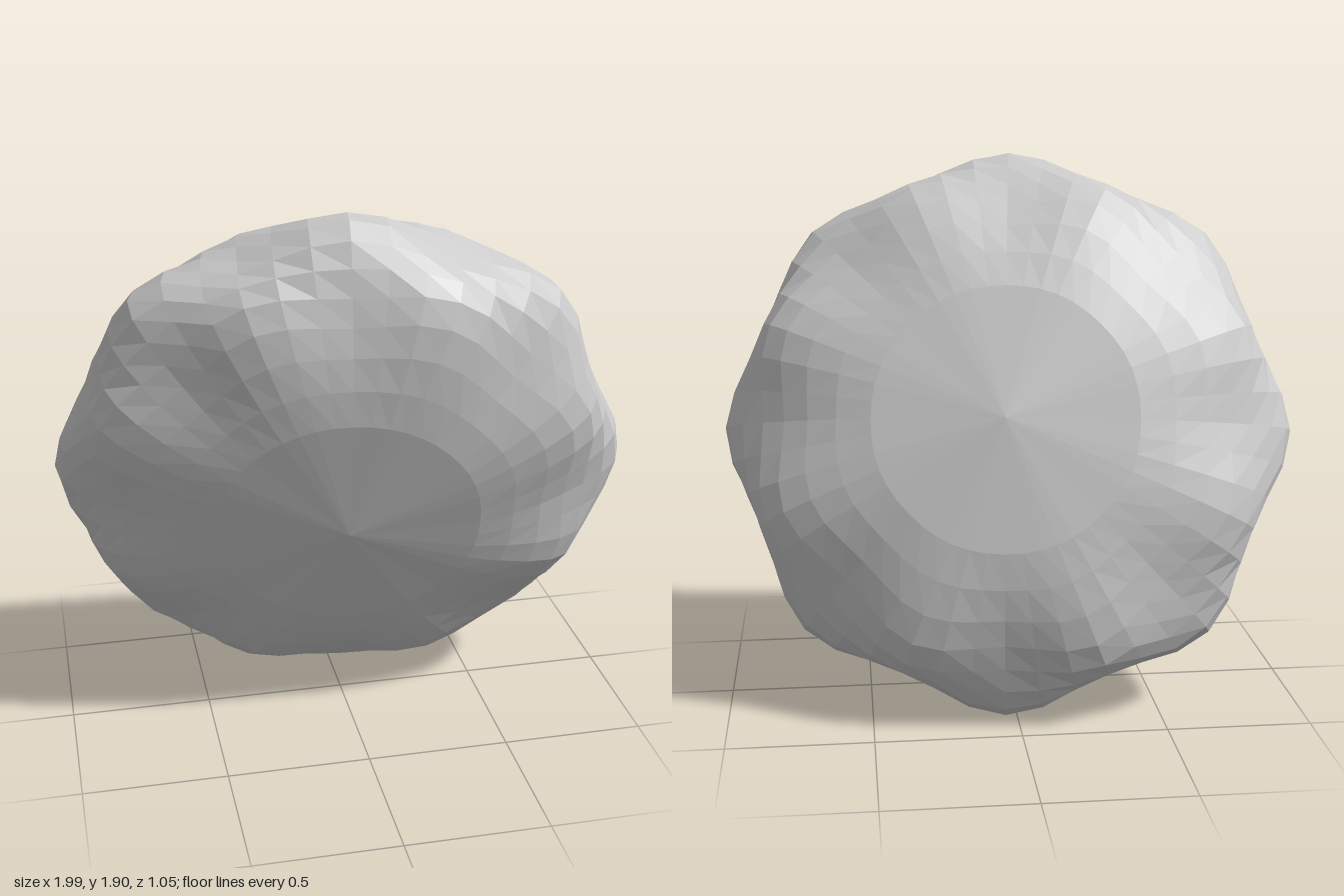
import * as THREE from 'three';

const SEGMENTS = 48, RINGS = 16;
const CAP = THREE.MathUtils.degToRad(28); // polar angle of the first ring round the flat caps
const RADIUS = 0.965, HALF_THICKNESS = 0.4, DENT = 0.04;

// Swelling of the stone: eight lobes on the rim, alternating with eight dents on each face
function swelling(theta, phi) {
  const c = Math.cos(theta), s = Math.sin(theta);
  return 1 - DENT * s ** 6 * (12 * c * c - 1) * Math.cos(8 * phi);
}

// Flattened sphere with slightly full shoulders, poles along z
function lobedStone() {
  const geo = new THREE.SphereGeometry(1, SEGMENTS, RINGS);
  const pos = geo.attributes.position;
  for (let i = 0; i < pos.count; i++) {
    const ring = Math.floor(i / (SEGMENTS + 1));
    const phi = (i % (SEGMENTS + 1)) / SEGMENTS * Math.PI * 2;
    let theta = CAP + (ring - 1) * (Math.PI - 2 * CAP) / (RINGS - 2);
    if (ring === 0) theta = 0;
    if (ring === RINGS) theta = Math.PI;
    const k = swelling(theta, phi), c = Math.cos(theta);
    const rho = RADIUS * k * Math.sin(theta);
    const depth = HALF_THICKNESS * k * Math.sign(c) * Math.abs(c) ** 0.88;
    pos.setXYZ(i, rho * Math.cos(phi), rho * Math.sin(phi), depth);
  }
  // lean the disc forward, turn it slightly and rest it on the ground
  geo.applyMatrix4(new THREE.Matrix4().makeRotationFromEuler(new THREE.Euler(0.335, -0.12, 0, 'YXZ')));
  geo.computeBoundingBox();
  geo.translate(0, -geo.boundingBox.min.y, 0);
  geo.computeVertexNormals();
  return geo;
}

export function createModel() {
  const group = new THREE.Group();
  const stone = new THREE.Mesh(
    lobedStone(),
    new THREE.MeshStandardMaterial({ color: 0xcccccc, flatShading: true })
  );
  stone.name = 'lobedStone';
  group.add(stone);
  return group;
}
